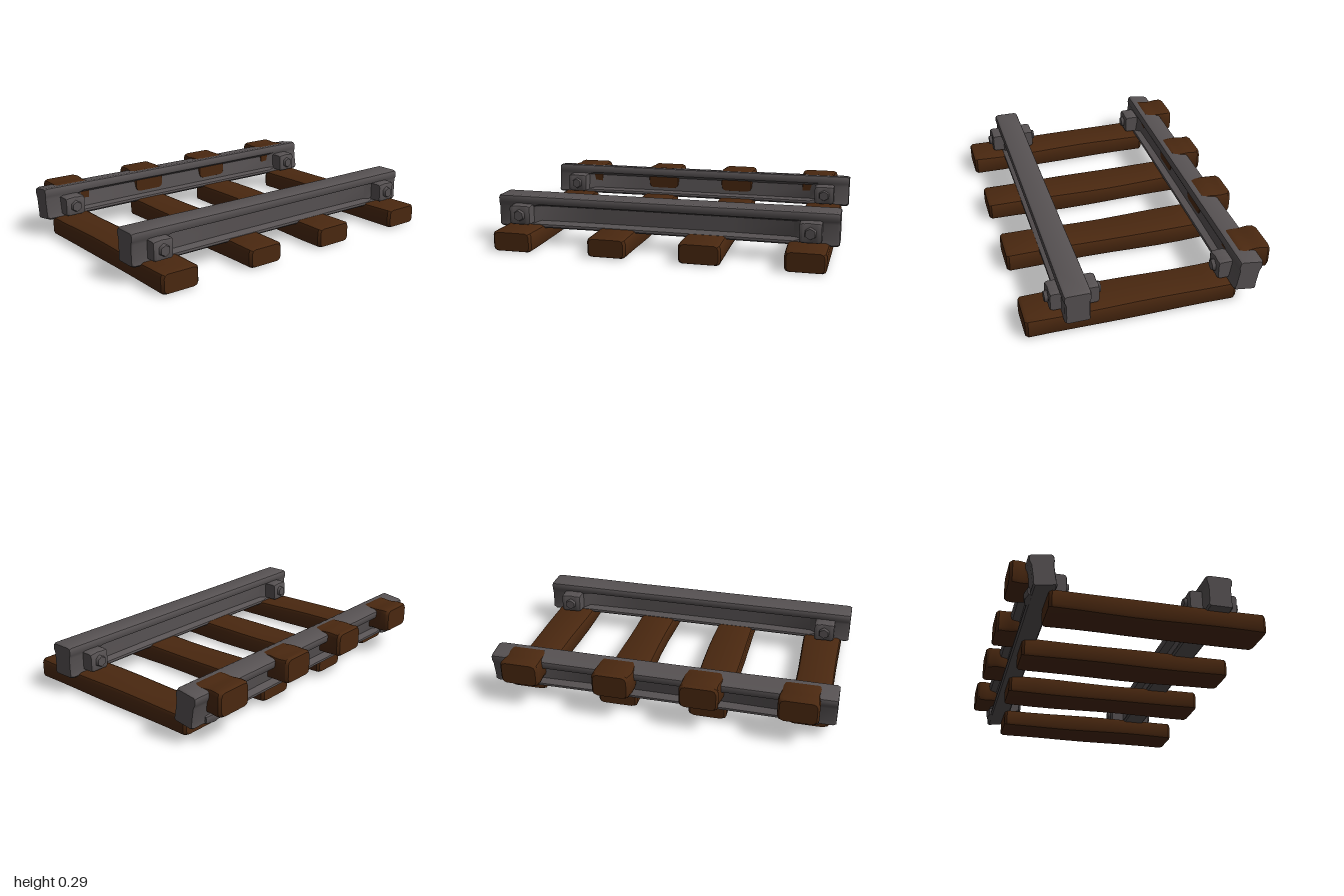
import * as THREE from 'three';
import { toCreasedNormals } from 'three/addons/utils/BufferGeometryUtils.js';

const iron = new THREE.MeshStandardMaterial({ color: 0x575253 });
iron.name = 'dark iron';
const wood = new THREE.MeshStandardMaterial({ color: 0x4a2810 });
wood.name = 'brown wood';

// Skins a list of [x, [[z, y], ...]] cross-sections along x and caps both ends
function loft(sections, crease = 0.6) {
  const n = sections[0][1].length, pos = [], idx = [];
  for (const [x, ring] of sections) for (const [z, y] of ring) pos.push(x, y, z);
  for (let i = 0; i < sections.length - 1; i++) {
    for (let j = 0; j < n; j++) {
      const k = (j + 1) % n, a = i * n + j, b = i * n + k;
      idx.push(a, b, a + n, b, b + n, a + n);
    }
  }
  [0, sections.length - 1].forEach((s, end) => {
    const [x, ring] = sections[s], c = pos.length / 3;
    pos.push(x, ring.reduce((t, p) => t + p[1], 0) / n, ring.reduce((t, p) => t + p[0], 0) / n);
    for (let j = 0; j < n; j++) {
      const a = s * n + j, b = s * n + (j + 1) % n;
      if (end) idx.push(c, a, b); else idx.push(c, b, a);
    }
  });
  const g = new THREE.BufferGeometry();
  g.setAttribute('position', new THREE.Float32BufferAttribute(pos, 3));
  g.setIndex(idx);
  return toCreasedNormals(g, crease);
}

// Completes a +z side (top to bottom) with its mirror image
const mirrorRing = side => [...side, ...side.slice().reverse().map(([z, y]) => [-z, y])];

// Bevelled bar along x with slightly worn, wavy sides
function wornBar(length, height, width, bevel, seed, wave) {
  const count = 9, sections = [];
  const add = (x, s, t) => {
    const w = width / 2 * s + wave * Math.sin(t * 7 + seed * 2.3);
    const h = height / 2 * s + wave * 0.5 * Math.sin(t * 9 + seed * 4.1);
    const b = bevel, side = [[w - b, h], [w - b * 0.3, h - b * 0.3], [w, h - b],
      [w, b - h], [w - b * 0.3, b * 0.3 - h], [w - b, -h]];
    const shift = wave * Math.sin(t * 5 + seed);
    sections.push([x, mirrorRing(side).map(([z, y]) => [z + shift, y])]);
  };
  add(-length / 2, 0.9, 0);
  for (let i = 0; i < count; i++) {
    const t = i / (count - 1);
    add((t - 0.5) * (length - 0.03), 1, t);
  }
  add(length / 2, 0.9, 1);
  return loft(sections);
}

// Rail: waisted web in the middle, solid at both ends
function railGeometry() {
  const section = (x, web, s) => [x, mirrorRing([
    [0.058, 0.096], [0.071, 0.09], [0.075, 0.08], [0.075, 0.055], [0.07, 0.045],
    [web, 0.03], [web, -0.058], [0.068, -0.073], [0.07, -0.086], [0.06, -0.095],
  ].map(([z, y]) => [z * s, y * s]))];
  const half = [[0.99, 0.066, 0.93], [0.975, 0.068, 1], [0.79, 0.066, 1], [0.74, 0.032, 1], [0.4, 0.027, 0.985]];
  return loft([
    ...half.map(([x, w, s]) => section(-x, w, s)),
    ...half.slice().reverse().map(([x, w, s]) => section(x, w, s)),
  ]);
}

function addMesh(parent, name, geometry, material, x = 0, y = 0, z = 0) {
  const mesh = new THREE.Mesh(geometry, material);
  mesh.name = name;
  mesh.position.set(x, y, z);
  parent.add(mesh);
  return mesh;
}

// Clamp plate with a hexagonal bolt head, facing +z or -z
function addClamp(parent, x, y, z, dir) {
  const g = new THREE.Group();
  g.name = 'clamp';
  const plate = addMesh(g, 'clampPlate', wornBar(0.12, 0.115, 0.09, 0.014, 1, 0.002), iron, 0, 0, 0.015);
  plate.rotation.y = 0;
  const bolt = addMesh(g, 'boltHead', new THREE.CylinderGeometry(0.03, 0.036, 0.02, 6), iron, 0, 0, 0.068);
  bolt.rotation.x = Math.PI / 2;
  g.position.set(x, y, z);
  if (dir < 0) g.rotation.y = Math.PI;
  parent.add(g);
}

export function createModel() {
  const model = new THREE.Group();
  model.name = 'railTrack';

  // Long sleepers: x centre, back end, front end
  [[-0.83, -0.49, 0.685], [-0.265, -0.54, 0.685], [0.26, -0.54, 0.675], [0.83, -0.49, 0.685]].forEach(([x, back, front], i) => {
    const m = addMesh(model, 'sleeper', wornBar(front - back, 0.115, 0.228, 0.022, i + 1, 0.004), wood, x, 0.066, (front + back) / 2);
    m.rotation.y = -Math.PI / 2;
  });

  // Short broken sleeper ends caught behind the back rail
  [-0.79, -0.25, 0.25, 0.79].forEach((x, i) => {
    const m = addMesh(model, 'brokenSleeperEnd', wornBar(0.19, 0.142, 0.22, 0.025, i + 3, 0.003), wood, x, 0.227, -0.595);
    m.rotation.y = -Math.PI / 2;
  });

  // Rails, the back one knocked over slightly
  const rail = railGeometry();
  addMesh(model, 'frontRail', rail, iron, 0, 0.198, 0.415);
  const backRail = addMesh(model, 'backRail', rail, iron, 0, 0.197, -0.53);
  backRail.rotation.x = -0.15;
  backRail.scale.z = 0.92;

  // Clamps on both sides of each rail
  for (const x of [-0.838, 0.838]) {
    addClamp(model, x, 0.188, 0.485, 1);
    addClamp(model, x, 0.188, 0.335, -1);
    addClamp(model, x, 0.188, -0.452, 1);
    // Bent foot under the back rail
    const foot = addMesh(model, 'bentClamp', wornBar(0.12, 0.05, 0.1, 0.012, 2, 0.002), iron, x, 0.122, -0.55);
    foot.rotation.x = -0.1;
  }
  return model;
}
